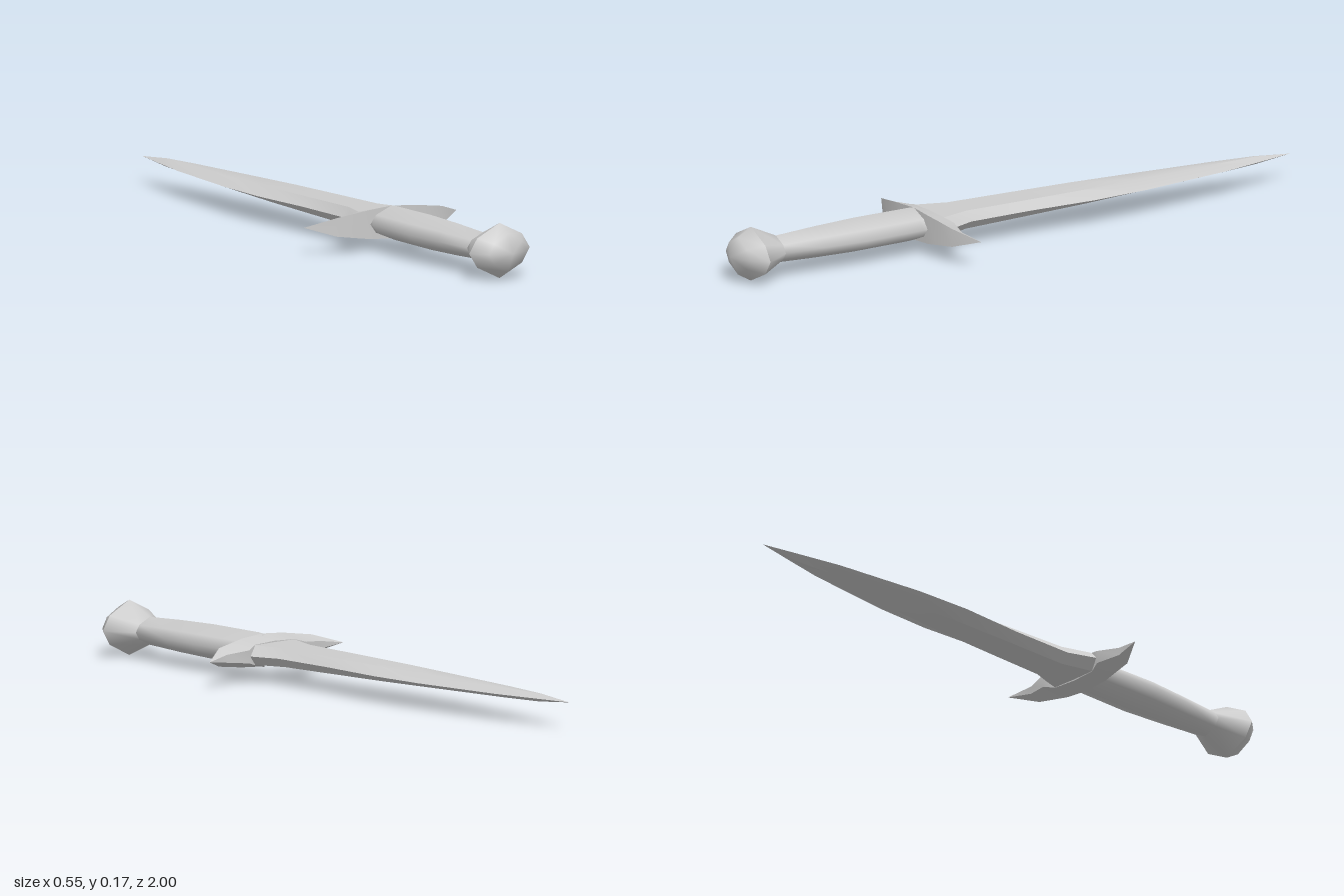
import * as THREE from 'three';
import { toCreasedNormals } from 'three/addons/utils/BufferGeometryUtils.js';

const material = new THREE.MeshStandardMaterial({ color: 0xcccccc });
const MID = 0.084; // height of the dagger's long axis

// Skin a list of equal rings, each counter-clockwise about the loft direction.
// Ends either shrink to a point or are buried in the neighbouring part.
function loft(rings, crease) {
  const clean = [];
  const tri = (...points) => {
    const [a, b, c] = points.map((p) => new THREE.Vector3(...p));
    // skip triangles collapsed where a ring shrinks to a point
    if (b.sub(a).cross(c.sub(a)).length() > 1e-9) points.forEach((p) => clean.push(...p));
  };
  const n = rings[0].length;
  for (let r = 0; r < rings.length - 1; r++) {
    for (let i = 0; i < n; i++) {
      const j = (i + 1) % n, a = rings[r], b = rings[r + 1];
      tri(a[i], a[j], b[j]);
      tri(a[i], b[j], b[i]);
    }
  }
  const g = new THREE.BufferGeometry();
  g.setAttribute('position', new THREE.Float32BufferAttribute(clean, 3));
  return toCreasedNormals(g, crease);
}

function part(name, geometry) {
  const mesh = new THREE.Mesh(geometry, material);
  mesh.name = name;
  mesh.position.y = MID;
  return mesh;
}

// Flattened eight-sided section shared by grip and pommel
const octagon = [[1, 0], [0.74, 0.53], [0, 1], [-0.74, 0.53], [-1, 0], [-0.74, -0.53], [0, -1], [0.74, -0.53]];
const octRing = ([z, rx, ry]) => octagon.map(([x, y]) => [x * rx, y * ry, z]);

// Blade section: sharp edges at +-w, flat face of half width f and half thickness t
const bladeRing = ([z, w, f, t]) =>
  [[w, 0], [f, t], [-f, t], [-w, 0], [-f, -t], [f, -t]].map(([x, y]) => [x, y, z]);

// Guard section: tall front edge, thin rear edge
const guardRing = ([x, zFront, zBack, hFront, hBack]) =>
  [[hFront, zFront], [-hFront, zFront], [-hBack, zBack], [hBack, zBack]].map(([y, z]) => [x, y, z]);

export function createModel() {
  const group = new THREE.Group();
  group.name = 'dagger';

  // z, edge half width, flat half width, half thickness
  const blade = [
    [-1, 0, 0, 0],
    [-0.87, 0.026, 0.003, 0.012],
    [-0.73, 0.053, 0.014, 0.015],
    [-0.43, 0.086, 0.034, 0.019],
    [-0.24, 0.092, 0.044, 0.022],
    [-0.02, 0.079, 0.049, 0.025],
    [0.19, 0.078, 0.052, 0.028],
    [0.3, 0.118, 0.083, 0.03],
  ];
  group.add(part('blade', loft(blade.map(bladeRing), 0.4)));

  // x, front z, rear z, front half height, rear half height
  const half = [
    [0, 0.345, 0.292, 0.05, 0.034],
    [0.08, 0.345, 0.29, 0.044, 0.031],
    [0.116, 0.34, 0.276, 0.039, 0.02],
    [0.19, 0.331, 0.296, 0.028, 0.012],
    [0.275, 0.282, 0.282, 0, 0],
  ];
  const guard = [...half.slice(1).reverse().map(([x, ...rest]) => [-x, ...rest]), ...half];
  group.add(part('guard', loft(guard.map(guardRing), 0.7)));

  // z, half width, half height
  const grip = [
    [0.33, 0.075, 0.05],
    [0.36, 0.078, 0.052],
    [0.56, 0.082, 0.053],
    [0.7, 0.07, 0.049],
    [0.845, 0.056, 0.042],
  ];
  group.add(part('grip', loft(grip.map(octRing), 1.4)));

  // Pommel: flared collar and domed cap, meeting at a sharp rim
  const neck = [0.836, 0.056, 0.042];
  const rim = [0.926, 0.109, 0.084];
  const dome = [rim, [0.972, 0.067, 0.058], [1, 0, 0]];
  group.add(part('pommelCollar', loft([neck, rim].map(octRing), 1.4)));
  group.add(part('pommelCap', loft(dome.map(octRing), 1.4)));

  return group;
}
